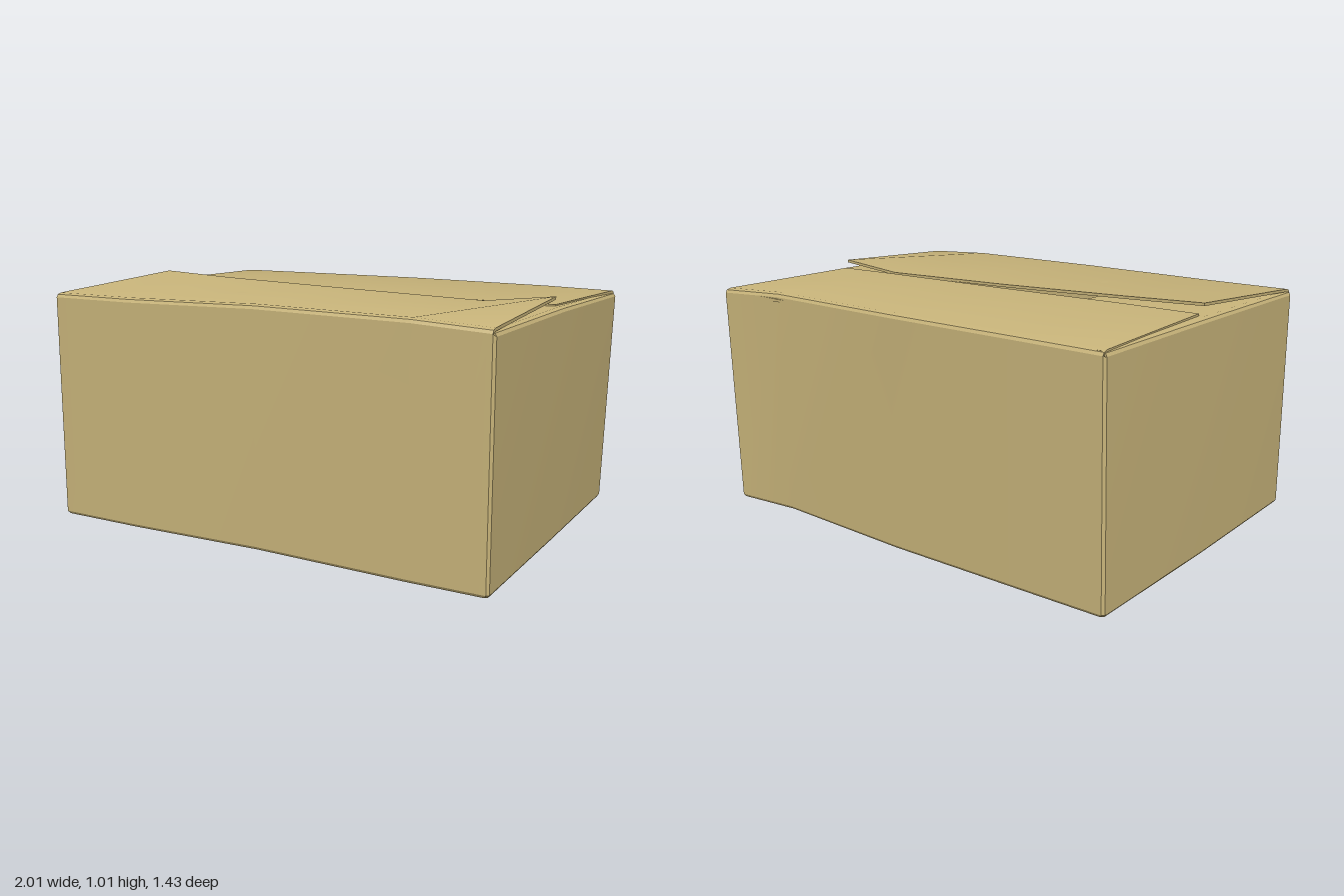
import * as THREE from 'three';
import { toCreasedNormals } from 'three/addons/utils/BufferGeometryUtils.js';

const material = new THREE.MeshStandardMaterial({ color: 0xc8b47a, side: THREE.DoubleSide });
const V = (x, y, z) => new THREE.Vector3(x, y, z);

// Rim of the walls, counter-clockwise from above, one list per side
const rim = {
  front: [V(-0.99, 0.955, 0.715), V(-0.6, 0.955, 0.715), V(0, 0.963, 0.695), V(0.68, 0.958, 0.715), V(0.99, 0.942, 0.715)],
  right: [V(1, 0.932, 0.705), V(0.997, 0.94, 0), V(0.99, 0.932, -0.71)],
  back: [V(0.98, 0.94, -0.72), V(0.68, 0.95, -0.69), V(0, 0.952, -0.72), V(-0.6, 0.95, -0.72), V(-0.97, 0.948, -0.72)],
  left: [V(-0.98, 0.945, -0.71), V(-0.997, 0.95, 0), V(-1, 0.945, 0.705)],
};

function makeMesh(name, positions, index) {
  const geometry = new THREE.BufferGeometry();
  geometry.setAttribute('position', new THREE.Float32BufferAttribute(positions.flatMap(p => p.toArray()), 3));
  geometry.setIndex(index);
  const mesh = new THREE.Mesh(toCreasedNormals(geometry.toNonIndexed(), 0.45), material);
  mesh.name = name;
  return mesh;
}

// Walls and floor: rings joined upward, closed below by a fan
function makeWalls() {
  const top = [...rim.front, ...rim.right, ...rim.back, ...rim.left];
  const n = top.length;
  const base = top.map(p => {
    const back = THREE.MathUtils.clamp(0.5 - p.z / 1.43, 0, 1);
    const shift = p.x > 0 ? -0.03 * back * p.x : -0.02 * back * -p.x;
    return V(p.x + shift, 0.012, p.z);
  });
  const foot = base.map(p => V(p.x * 0.992, 0, p.z * 0.989));
  const points = [...foot, ...base, ...top, V(0, 0, 0)];
  const index = [];
  for (let i = 0; i < n; i++) {
    const j = (i + 1) % n;
    for (let r = 0; r < 2; r++) {
      const a = r * n + i, b = r * n + j;
      index.push(a, b, b + n, a, b + n, a + n);
    }
    index.push(3 * n, j, i);
  }
  return makeMesh('walls', points, index);
}

// Flap: a thin folded cross-section swept along its hinge
function makeFlap(name, hinge, edge) {
  const points = [], index = [], k = 8, t = 0.012;
  hinge.forEach((h, i) => {
    const e = edge[i];
    const d = V(e.x - h.x, 0, e.z - h.z).normalize();
    const at = (inward, up) => h.clone().addScaledVector(d, inward).add(V(0, up, 0));
    points.push(h.clone(), at(0.007, 0.012), at(0.025, 0.018), e.clone(),
      e.clone().add(V(0, -t, 0)), at(0.028, 0.006), at(0.016, 0.004), at(t, 0));
  });
  for (let i = 0; i < hinge.length - 1; i++) {
    for (let r = 0; r < k; r++) {
      const s = (r + 1) % k, a = i * k + r, b = i * k + s;
      index.push(a, a + k, b + k, a, b + k, b);
    }
  }
  // End caps, as strips between the upper and lower skins
  const last = (hinge.length - 1) * k;
  for (let r = 0; r < 3; r++) {
    const u = k - 1 - r;
    index.push(r, r + 1, u - 1, r, u - 1, u);
    index.push(last + r, last + u - 1, last + r + 1, last + r, last + u, last + u - 1);
  }
  return makeMesh(name, points, index);
}

export function createModel() {
  const box = new THREE.Group();
  box.name = 'cardboardBox';
  box.add(makeWalls());

  // Short inner flaps
  box.add(makeFlap('innerFlapRight', rim.right,
    [V(0.35, 0.938, 0.68), V(0.35, 0.942, 0), V(0.35, 0.935, -0.68)]));
  box.add(makeFlap('innerFlapLeft', rim.left,
    [V(-0.35, 0.938, -0.68), V(-0.35, 0.942, 0), V(-0.35, 0.938, 0.68)]));

  // Long outer flaps; the front one lifts at both ends
  box.add(makeFlap('outerFlapFront', rim.front,
    [V(-0.96, 1.015, 0), V(-0.6, 1.0, 0.006), V(0, 0.982, 0), V(0.66, 0.966, 0.01), V(0.96, 0.998, 0)]));
  box.add(makeFlap('outerFlapBack', rim.back,
    [V(0.95, 0.963, -0.022), V(0.66, 0.964, -0.012), V(0, 0.97, -0.022), V(-0.6, 0.974, -0.014), V(-0.95, 0.976, -0.022)]));
  return box;
}
